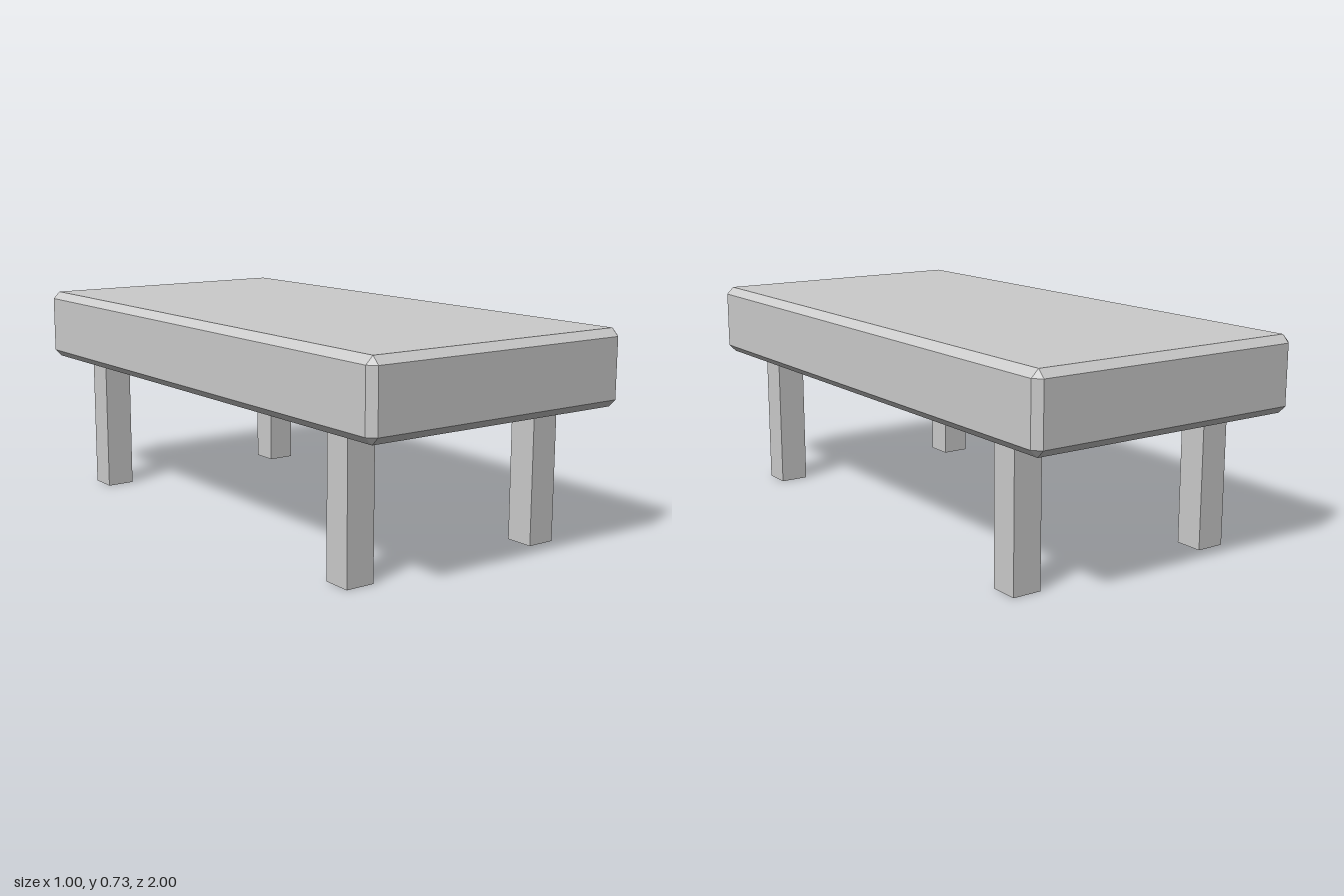
import * as THREE from 'three';
import { ConvexGeometry } from 'three/addons/geometries/ConvexGeometry.js';

const material = new THREE.MeshStandardMaterial({ color: 0xcccccc, flatShading: true });

// Box with bevelled edges and triangular corners: three points per corner
function chamferedBox(width, height, depth, bevel) {
  const points = [];
  for (const sx of [-1, 1]) for (const sy of [-1, 1]) for (const sz of [-1, 1]) {
    for (const axis of [0, 1, 2]) {
      const half = [width / 2, height / 2, depth / 2].map((h, i) => (i === axis ? h : h - bevel));
      points.push(new THREE.Vector3(sx * half[0], sy * half[1], sz * half[2]));
    }
  }
  return new ConvexGeometry(points);
}

export function createModel() {
  const table = new THREE.Group();
  table.name = 'table';

  // Thick bevelled top
  const top = new THREE.Mesh(chamferedBox(1, 0.25, 2, 0.025), material);
  top.name = 'tableTop';
  top.position.y = 0.6;
  table.add(top);

  // Four square legs
  const legHeight = 0.48;
  const legGeometry = new THREE.BoxGeometry(0.1, legHeight, 0.1);
  for (const [sideName, sx] of [['Left', 1], ['Right', -1]]) {
    for (const [endName, sz] of [['front', 1], ['back', -1]]) {
      const leg = new THREE.Mesh(legGeometry, material);
      leg.name = `${endName}${sideName}Leg`;
      leg.position.set(sx * 0.375, legHeight / 2, sz * 0.75);
      table.add(leg);
    }
  }
  return table;
}
